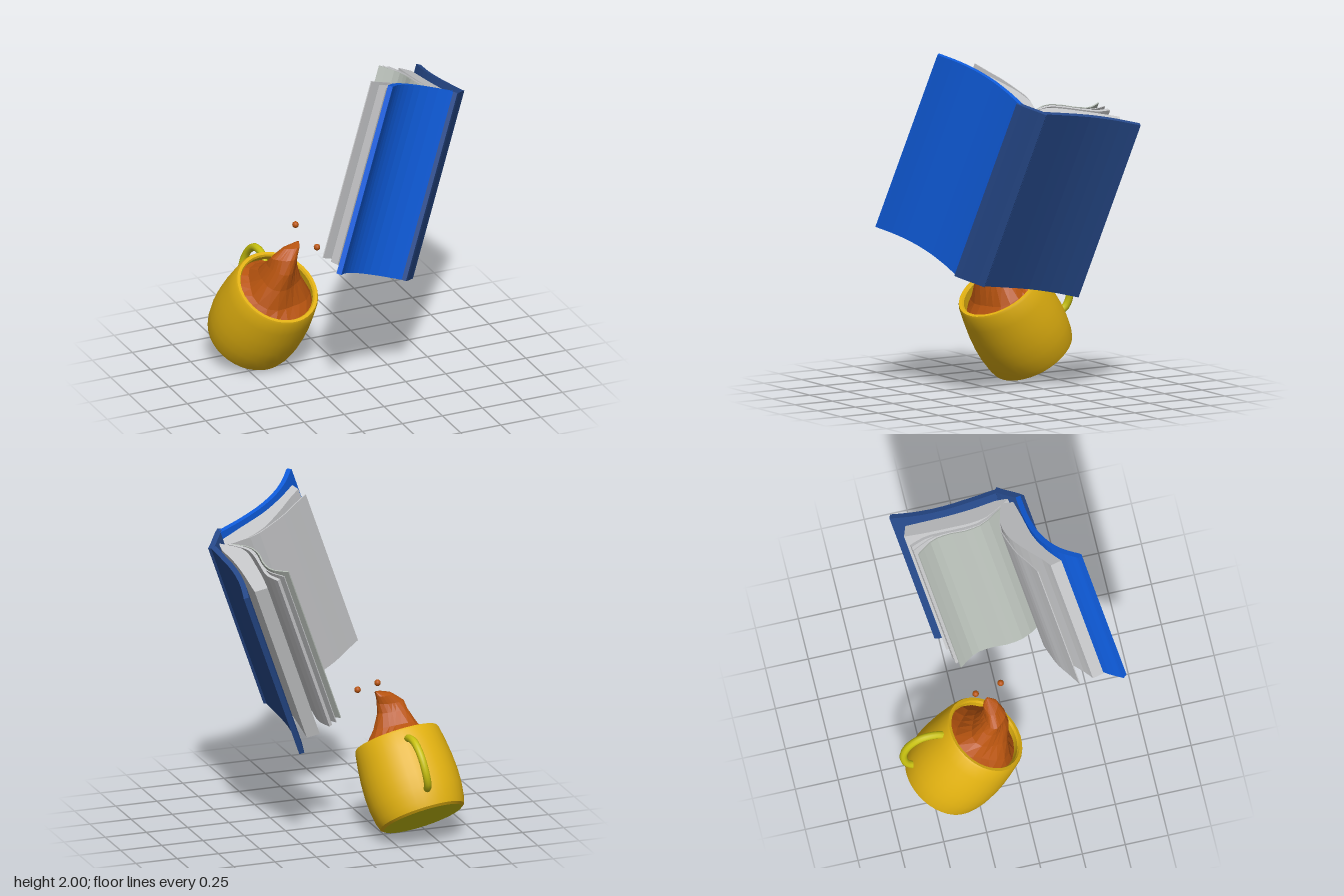
import * as THREE from 'three';
import { toCreasedNormals } from 'three/addons/utils/BufferGeometryUtils.js';

const mat = (name, color, side = THREE.FrontSide) => {
  const m = new THREE.MeshStandardMaterial({ color, side });
  m.name = name;
  return m;
};
const V = (x, y, z) => new THREE.Vector3(x, y, z);

export function createModel() {
  const blue = mat('bright blue', 0x0f5cdc);
  const navy = mat('navy blue', 0x26498a);
  const paper = mat('paper', 0xc8c9cb);
  const paperShade = mat('grey green paper', 0xb6bdb6);
  const yellow = mat('mug yellow', 0xe0b010, THREE.DoubleSide);
  const lime = mat('olive yellow', 0xc9c210);
  const brown = mat('coffee', 0xb8540f, THREE.DoubleSide);

  const model = new THREE.Group();
  const add = (parent, name, geometry, material) => {
    const mesh = new THREE.Mesh(geometry, material);
    mesh.name = name;
    parent.add(mesh);
    return mesh;
  };

  // ---- Open book: profiles drawn across the book, extruded along its spine
  const book = new THREE.Group();
  book.name = 'book';
  model.add(book);
  const along = V(0.4, 1.03, -0.17).normalize();
  const across = V(0.51, -0.24, -0.23);
  across.addScaledVector(along, -across.dot(along)).normalize();
  const out = new THREE.Vector3().crossVectors(across, along);
  book.quaternion.setFromRotationMatrix(
    new THREE.Matrix4().makeBasis(across, out, along.clone().negate()));
  book.position.set(0.37, 1.245, 0.345);

  const smooth = (pts, n) =>
    new THREE.SplineCurve(pts.map(p => new THREE.Vector2(...p))).getPoints(n);
  const extrude = (pts, length) => new THREE.ExtrudeGeometry(new THREE.Shape(pts),
    { depth: length, bevelEnabled: false }).translate(0, 0, -length / 2);
  // Thickens a line of points towards its right-hand side
  const slab = (line, t0, t1 = t0) => {
    const inner = line.map((p, i) => {
      const d = line[Math.min(i + 1, line.length - 1)].clone()
        .sub(line[Math.max(i - 1, 0)]).normalize();
      const t = t0 + (t1 - t0) * i / (line.length - 1);
      return new THREE.Vector2(p.x + d.y * t, p.y - d.x * t);
    });
    return [...line, ...inner.reverse()];
  };

  const coverLength = 1.118, pageLength = 1.05;
  const frontLine = smooth([[-0.608, 0], [-0.59, -0.008], [-0.52, -0.045], [-0.44, -0.073],
    [-0.35, -0.085], [-0.247, -0.08], [-0.12, -0.05], [0, -0.008]], 14);
  const backLine = smooth([[0.146, -0.09], [0.195, -0.215], [0.262, -0.37],
    [0.345, -0.51], [0.44, -0.63]], 10);
  const spineLine = smooth([[-0.012, 0.008], [0.035, -0.012], [0.1, -0.048], [0.152, -0.072]], 4);
  add(book, 'frontCover', extrude(slab(frontLine, 0.03), coverLength), blue);
  add(book, 'backCover', extrude(slab(backLine, 0.03), coverLength), navy);
  add(book, 'spine', extrude(slab(spineLine, 0.035), coverLength), navy);

  // Page blocks
  const block = (coverSide, innerSide) => extrude(
    [...smooth(coverSide, 10), ...smooth(innerSide, 14)], pageLength);
  add(book, 'frontPages', block(
    [[-0.533, -0.1], [-0.44, -0.115], [-0.35, -0.12], [-0.25, -0.115], [-0.12, -0.085], [0.02, -0.055]],
    [[0.06, -0.11], [0.02, -0.15], [-0.06, -0.2], [-0.13, -0.218], [-0.2, -0.22],
      [-0.33, -0.2], [-0.44, -0.175], [-0.517, -0.165]]), paper);
  add(book, 'backPages', block(
    [[0.06, -0.06], [0.105, -0.13], [0.145, -0.24], [0.21, -0.38], [0.275, -0.5], [0.333, -0.605]],
    [[0.275, -0.655], [0.2, -0.54], [0.13, -0.42], [0.07, -0.31], [0.045, -0.22], [0.055, -0.1]]), paper);

  // Loose leaves fanning away from the blocks
  const leaves = [
    ['frontLeaf', [[-0.495, -0.24], [-0.4, -0.243], [-0.3, -0.25], [-0.2, -0.24],
      [-0.08, -0.215], [0.04, -0.12]], 0.006, 0.006, paper],
    ['middleLeaf', [[0.05, -0.1], [0.04, -0.26], [0.07, -0.35], [0.125, -0.45],
      [0.185, -0.56], [0.2, -0.665]], 0.008, 0.02, paper],
    ['innerLeaf', [[0.05, -0.1], [0.02, -0.26], [0.05, -0.37], [0.1, -0.45],
      [0.135, -0.55], [0.112, -0.67]], 0.006, 0.008, paperShade],
    ['thinLeaf', [[0.05, -0.1], [0.03, -0.26], [0.06, -0.36], [0.115, -0.45],
      [0.155, -0.55], [0.155, -0.675]], 0.006, 0.006, paper],
  ];
  for (const [name, pts, t0, t1, m] of leaves)
    add(book, name, extrude(slab(smooth(pts, 12), t0, t1), pageLength), m);

  // ---- Tilted mug
  const mug = new THREE.Group();
  mug.name = 'mug';
  mug.position.set(-0.42, 0.135, -0.435);
  mug.quaternion.setFromUnitVectors(V(0, 1, 0), V(0.06, 0.405, 0.27).normalize());
  model.add(mug);
  const wall = [[0.232, 0], [0.25, 0.012], [0.262, 0.05], [0.274, 0.13], [0.277, 0.21], [0.273, 0.3],
    [0.263, 0.39], [0.25, 0.475], [0.243, 0.488], [0.225, 0.488], [0.218, 0.475],
    [0.235, 0.38], [0.245, 0.2], [0.22, 0.04], [0, 0.035]].map(p => new THREE.Vector2(...p));
  add(mug, 'mugBody', toCreasedNormals(new THREE.LatheGeometry(wall, 36), 0.5), yellow);
  add(mug, 'mugBase', new THREE.CircleGeometry(0.233, 36).rotateX(Math.PI / 2), lime);

  // Handle
  const handlePath = new THREE.CatmullRomCurve3([
    V(-0.345, 0.59, -0.37), V(-0.335, 0.625, -0.43), V(-0.335, 0.63, -0.53), V(-0.345, 0.57, -0.61),
    V(-0.36, 0.48, -0.645), V(-0.378, 0.4, -0.63), V(-0.39, 0.35, -0.57)]);
  add(model, 'mugHandle', new THREE.TubeGeometry(handlePath, 28, 0.022, 10), lime);

  // ---- Coffee splash: twisted rings rising from the tilted surface to a tip
  // each ring: centre x, y, z, radius x, radius z, slope along z
  const rings = [
    [-0.366, 0.49, -0.197, 0.225, 0.19, 0.667], [-0.36, 0.53, -0.185, 0.175, 0.145, 0.58],
    [-0.36, 0.61, -0.15, 0.12, 0.1, 0.4], [-0.35, 0.69, -0.12, 0.085, 0.08, 0.25],
    [-0.335, 0.75, -0.11, 0.078, 0.06, 0], [-0.295, 0.8, -0.12, 0.05, 0.04, -0.1],
    [-0.25, 0.82, -0.13, 0.006, 0.006, 0]];
  const n = 20, positions = [], index = [];
  rings.forEach(([cx, cy, cz, rx, rz, slope], i) => {
    for (let j = 0; j < n; j++) {
      const a = j / n * Math.PI * 2;
      const k = i === 0 ? 1 : 1 + 0.12 * Math.sin(3 * a + 0.9 * i);
      const dx = Math.cos(a) * rx * k, dz = Math.sin(a) * rz * k;
      positions.push(cx + dx, cy - slope * dz - slope * 0.22 * dx, cz + dz);
      if (i < rings.length - 1) {
        const p = i * n + j, q = i * n + (j + 1) % n;
        index.push(p, p + n, q, q, p + n, q + n);
      }
    }
  });
  let splash = new THREE.BufferGeometry();
  splash.setAttribute('position', new THREE.Float32BufferAttribute(positions, 3));
  splash.setIndex(index);
  splash = splash.toNonIndexed();
  splash.computeVertexNormals();
  add(model, 'coffeeSplash', splash, brown);

  // Drops
  for (const [x, y, z] of [[-0.235, 0.895, -0.195], [-0.174, 0.81, -0.035]])
    add(model, 'coffeeDrop', new THREE.SphereGeometry(0.019, 10, 8), brown).position.set(x, y, z);

  return model;
}
